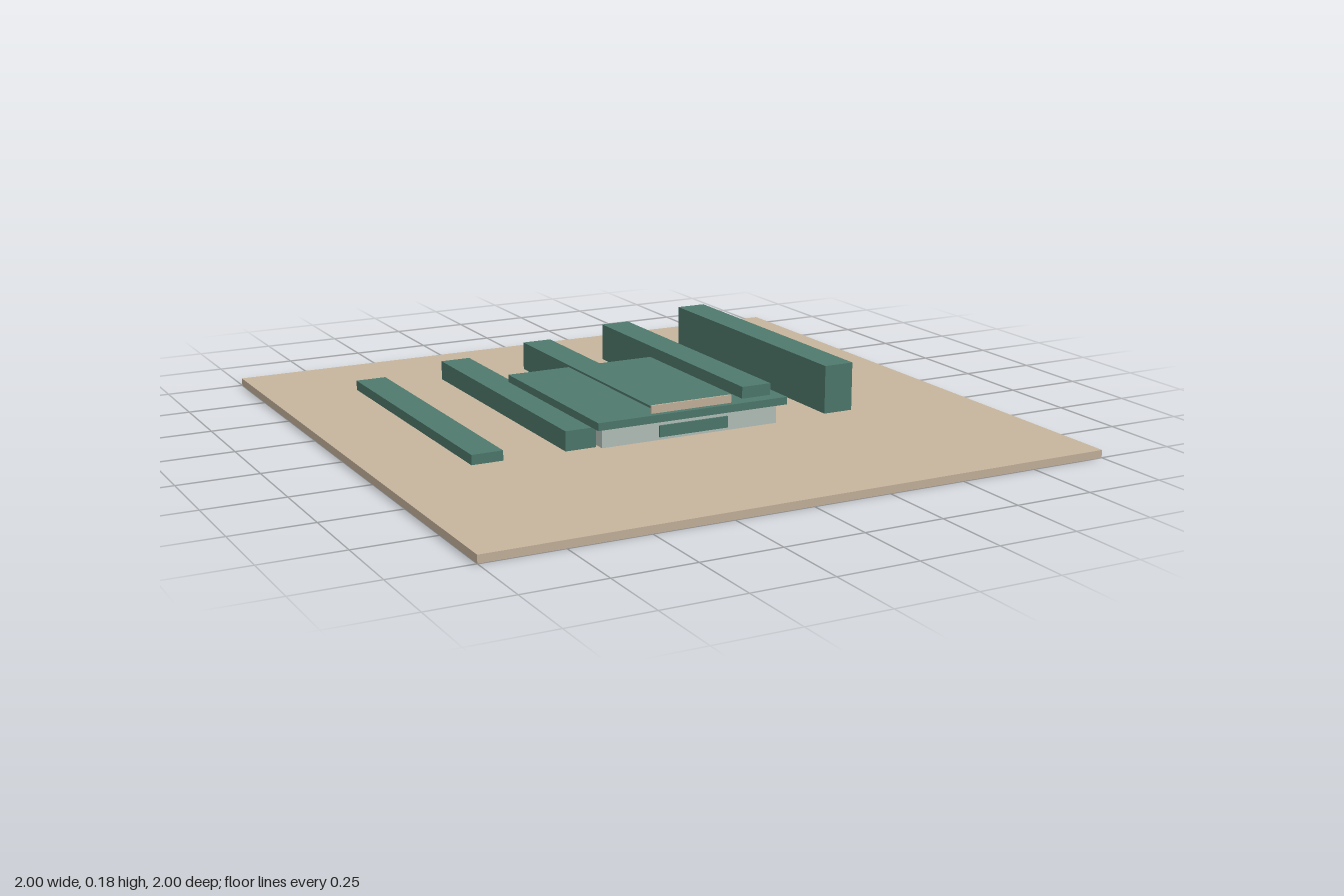
import * as THREE from 'three';

export function createModel() {
  const group = new THREE.Group();
  const mat = (name, color) => {
    const m = new THREE.MeshStandardMaterial({ color });
    m.name = name;
    return m;
  };
  const sand = mat('sand', 0xc6b59d);
  const green = mat('deep green', 0x4f7a6e);
  const pale = mat('pale grey green', 0xb8c4be);

  // Box given by its minimum and maximum corners
  const box = (name, material, [x0, y0, z0], [x1, y1, z1]) => {
    const mesh = new THREE.Mesh(new THREE.BoxGeometry(x1 - x0, y1 - y0, z1 - z0), material);
    mesh.position.set((x0 + x1) / 2, (y0 + y1) / 2, (z0 + z1) / 2);
    mesh.name = name;
    group.add(mesh);
  };

  const ground = 0.024;
  box('basePlate', sand, [-1, 0, -1], [1, ground, 1]);

  // Five parallel bars, rising step by step from right to left
  for (let i = 0; i < 5; i++) {
    const x = -0.66 + 0.3 * i;
    box(`bar${i + 1}`, green, [x - 0.05, ground, -0.68], [x + 0.05, 0.055 + 0.0308 * i, 0.28]);
  }

  // Low pavilion with an overhanging roof slab
  box('pavilionBody', pale, [-0.3, ground, -0.3], [0.3, 0.086, 0.3]);
  box('roofSlab', green, [-0.324, 0.086, -0.324], [0.324, 0.11, 0.324]);

  // Thin panels at the front
  box('frontPanel', green, [-0.117, 0.038, 0.314], [0.117, 0.074, 0.32]);
  box('roofSign', sand, [-0.137, 0.105, 0.299], [0.137, 0.135, 0.305]);

  return group;
}
